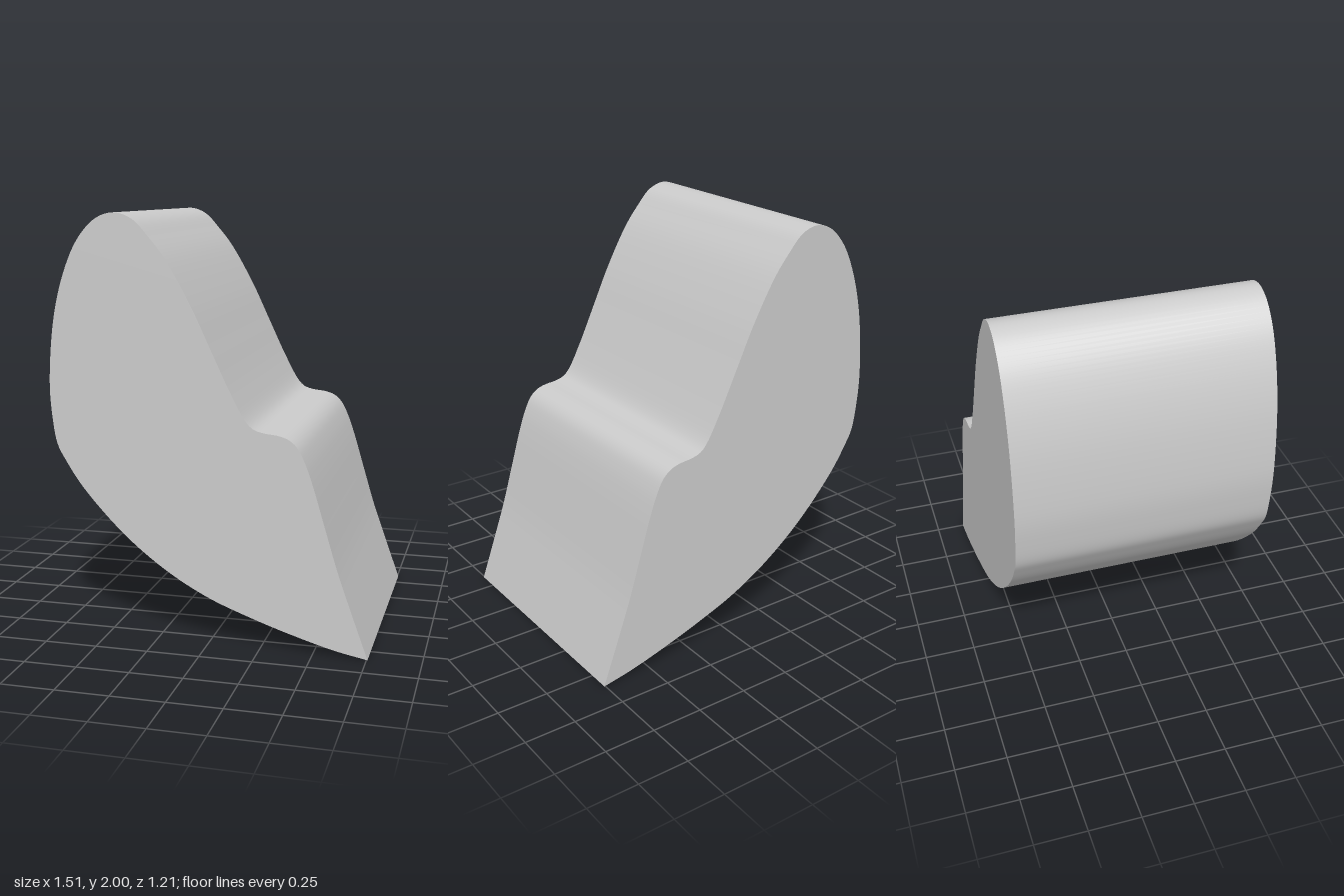
import * as THREE from 'three';
import { toCreasedNormals } from 'three/addons/utils/BufferGeometryUtils.js';

const DEPTH = 1.21;

// Side outline, counter-clockwise from the sharp toe
const OUTLINE = [
  [0.755, 0], [0.66, 0.265], [0.61, 0.41], [0.55, 0.61], [0.49, 0.81], [0.455, 0.905], [0.42, 0.97],
  [0.38, 1.004], [0.33, 1.02], [0.27, 1.027], [0.22, 1.042], [0.185, 1.075], [0.115, 1.2], // step
  [0.02, 1.4], [-0.075, 1.6], [-0.19, 1.8], [-0.265, 1.895], [-0.34, 1.972], // slope
  [-0.425, 2], [-0.51, 1.975], [-0.595, 1.89], [-0.665, 1.75], [-0.725, 1.53], // crown
  [-0.755, 1.22], [-0.747, 1.06], [-0.724, 0.925], [-0.685, 0.85], // back
  [-0.6, 0.723], [-0.4, 0.508], [-0.2, 0.35], [0, 0.235], [0.2, 0.155], [0.4, 0.088], [0.6, 0.031], [0.755, 0], // underside
];

export function createModel() {
  const group = new THREE.Group();
  group.name = 'curvedBlock';

  const curve = new THREE.CatmullRomCurve3(
    OUTLINE.map(([x, y]) => new THREE.Vector3(x, y, 0)), false, 'centripetal');
  const points = curve.getSpacedPoints(240).slice(0, -1);
  const shape = new THREE.Shape(points.map((p) => new THREE.Vector2(p.x, Math.max(0, p.y))));

  // Straight extrusion with smooth walls and crisp end edges
  const geometry = new THREE.ExtrudeGeometry(shape, { depth: DEPTH, bevelEnabled: false });
  geometry.translate(0, 0, -DEPTH / 2);

  const body = new THREE.Mesh(
    toCreasedNormals(geometry, Math.PI / 5),
    new THREE.MeshStandardMaterial({ color: 0xcccccc }));
  body.name = 'body';
  group.add(body);
  return group;
}
